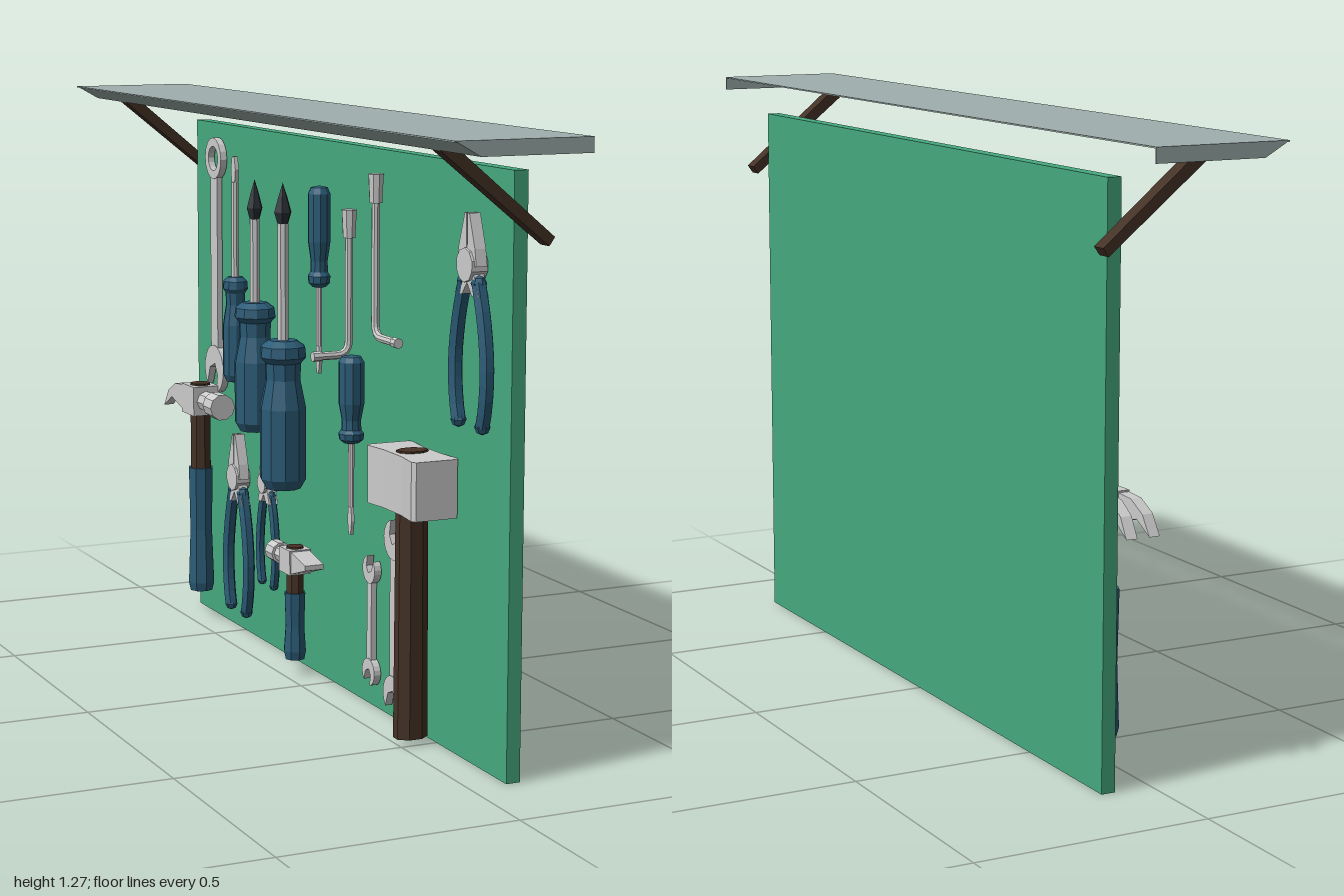
import * as THREE from 'three';

const mat = (color) => new THREE.MeshStandardMaterial({ color, flatShading: true, side: THREE.DoubleSide });
const GREY = mat(0xcccccc), GREEN = mat(0x45aa7e), ROOF = mat(0x9fb0ad), BLUE = mat(0x2b5b76), WOOD = mat(0x453226), DARK = mat(0x2a3036);

function add(parent, name, geo, material, x = 0, y = 0, z = 0) {
  const m = new THREE.Mesh(geo, material);
  m.name = name;
  m.position.set(x, y, z);
  parent.add(m);
  return m;
}
const box = (w, h, d) => new THREE.BoxGeometry(w, h, d);
const lathe = (pts, n = 10) => new THREE.LatheGeometry(pts.map(p => new THREE.Vector2(...p)), n);
const poly = (pts) => new THREE.Shape(pts.map(p => new THREE.Vector2(...p)));
// flat shape extruded and centred in depth
function plate(shape, depth) {
  const g = new THREE.ExtrudeGeometry(shape, { depth, bevelEnabled: false, curveSegments: 8 });
  return g.translate(0, 0, -depth / 2);
}
function group(parent, name, x, y, z) {
  const g = new THREE.Group();
  g.name = name;
  g.position.set(x, y, z);
  parent.add(g);
  return g;
}

// Screwdriver: handle from 0 to h, shaft on to total length len, pointing up
function screwdriver(parent, name, u, y, d, { r, h, len, shaft, cross = false, down = false }) {
  const g = group(parent, name, u, y, d);
  add(g, 'handle', lathe([[0, 0], [r * 0.75, 0.004], [r, h * 0.08], [r, h * 0.55], [r * 0.75, h * 0.74],
    [r * 0.78, h * 0.85], [r, h * 0.89], [r * 0.95, h * 0.96], [r * 0.6, h], [0, h]]), BLUE);
  const tip = cross ? 0.09 : 0.06;
  add(g, 'shaft', new THREE.CylinderGeometry(shaft, shaft, len - tip - h, 8), GREY, 0, (h + len - tip) / 2, 0);
  if (cross) {
    add(g, 'crossTip', lathe([[0, 0], [shaft, 0], [shaft * 1.6, 0.025], [shaft * 0.8, 0.06], [0, 0.09]], 6), DARK, 0, len - tip, 0);
  } else {
    add(g, 'flatTip', plate(poly([[-shaft, 0], [shaft, 0], [shaft * 1.5, 0.03], [shaft * 0.7, tip], [-shaft * 0.7, tip], [-shaft * 1.5, 0.03]]), shaft), GREY, 0, len - tip, 0);
  }
  if (down) g.rotation.z = Math.PI;
}

// Pliers: height h, half width w, handles hanging down
function pliers(parent, name, u, y, d, h, w) {
  const g = group(parent, name, u, y, d);
  const p = h * 0.76; // pivot height
  const pivot = add(g, 'pivot', new THREE.CylinderGeometry(w * 0.42, w * 0.42, 0.035, 10), GREY, 0, p, 0);
  pivot.rotation.x = Math.PI / 2;
  for (const s of [-1, 1]) {
    const jaw = poly([[0.002, p], [w * 0.5, p], [w * 0.42, p + h * 0.08], [w * 0.12, h], [0.002, h]]);
    add(g, 'jaw', plate(jaw, 0.024), GREY).scale.x = s;
    const arm = poly([[-w * 0.35, p], [w * 0.25, p], [w * 0.62, h * 0.62], [w * 0.25, h * 0.62]]);
    add(g, 'arm', plate(arm, 0.022), GREY).scale.x = s;
    const grip = new THREE.CatmullRomCurve3([[0.36, 0.68], [0.66, 0.5], [0.82, 0.3], [0.76, 0.12], [0.62, 0.02]]
      .map(([a, b]) => new THREE.Vector3(a * w * s, b * h, 0)));
    add(g, 'grip', new THREE.TubeGeometry(grip, 10, w * 0.2, 6), BLUE);
    const end = new THREE.SphereGeometry(w * 0.2, 6, 4);
    for (const t of [0, 1]) add(g, 'gripEnd', end, BLUE, ...grip.getPoint(t).toArray());
  }
}

// Spanner: open jaw at the bottom, open jaw or ring at the top
function spanner(parent, name, u, y, len, w, ring) {
  const g = group(parent, name, u, y, 0.011);
  const r = w / 2, t = 0.016;
  add(g, 'shank', box(w * 0.36, len - 3.2 * r, t * 0.8), GREY, 0, len / 2, 0);
  const open = new THREE.Shape();
  open.absarc(0, 0, r, Math.PI / 2 + 0.5, Math.PI * 2.5 - 0.5, false);
  open.lineTo(r * 0.42, r * 0.1);
  open.lineTo(0, -r * 0.25);
  open.lineTo(-r * 0.42, r * 0.1);
  open.closePath();
  add(g, 'openJaw', plate(open, t), GREY, 0, r, 0).rotation.z = Math.PI - 0.3;
  if (ring) {
    const shape = new THREE.Shape().absarc(0, 0, r * 0.85, 0, Math.PI * 2, false);
    shape.holes.push(new THREE.Path().absarc(0, 0, r * 0.5, 0, Math.PI * 2, true));
    add(g, 'ring', plate(shape, t), GREY, 0, len - r, 0);
  } else {
    add(g, 'openJaw', plate(open, t), GREY, 0, len - r, 0).rotation.z = -0.3;
  }
}

// Bent bar with a socket on its upper end; foot is the direction of the lower arm
function bentKey(parent, name, u, y, d, h, foot) {
  const g = group(parent, name, u, y, d);
  const f = new THREE.Vector3(...foot), dir = f.clone().normalize();
  const path = new THREE.CurvePath();
  const a = new THREE.Vector3(0, 0.03, 0), b = dir.clone().multiplyScalar(0.03);
  path.add(new THREE.LineCurve3(new THREE.Vector3(0, h, 0), a));
  path.add(new THREE.QuadraticBezierCurve3(a, new THREE.Vector3(), b));
  path.add(new THREE.LineCurve3(b, f));
  add(g, 'bar', new THREE.TubeGeometry(path, 32, 0.009, 8), GREY);
  add(g, 'socket', new THREE.CylinderGeometry(0.017, 0.014, 0.06, 8), GREY, 0, h - 0.03, 0);
  const end = add(g, 'barEnd', new THREE.CylinderGeometry(0.011, 0.011, 0.02, 8), GREY, ...f.toArray());
  end.quaternion.setFromUnitVectors(new THREE.Vector3(0, 1, 0), dir);
}

// Hammer: face towards side s, claw or wedge on the other side
function hammer(parent, name, u, y, h, k, s, claw) {
  const g = group(parent, name, u, y, 0.05);
  const gripH = h * 0.6;
  add(g, 'grip', lathe([[0, 0], [0.028 * k, 0], [0.033 * k, 0.02], [0.028 * k, gripH * 0.5], [0.031 * k, gripH], [0, gripH]], 8), BLUE);
  add(g, 'handle', new THREE.CylinderGeometry(0.025 * k, 0.026 * k, h - gripH + 0.004, 8), WOOD, 0, (h + gripH) / 2 + 0.002, 0);
  const head = group(g, 'head', 0, h - 0.035 * k, 0);
  head.scale.set(s * k, k, k);
  add(head, 'cheek', box(0.075, 0.07, 0.065), GREY);
  add(head, 'neck', new THREE.CylinderGeometry(0.024, 0.024, 0.06, 8), GREY, 0.06, 0, 0).rotation.z = Math.PI / 2;
  add(head, 'face', new THREE.CylinderGeometry(0.031, 0.031, 0.05, 10), GREY, 0.115, 0, 0).rotation.z = Math.PI / 2;
  const prong = poly([[-0.03, 0.032], [-0.08, 0.028], [-0.12, 0.005], [-0.145, -0.035], [-0.1, -0.008], [-0.03, -0.03]]);
  if (claw) {
    for (const side of [-1, 1]) add(head, 'claw', plate(prong, 0.024), GREY, 0, 0, side * 0.018).rotation.y = side * 0.05;
  } else {
    add(head, 'wedge', plate(poly([[-0.03, 0.033], [-0.13, 0.012], [-0.13, -0.002], [-0.03, -0.033]]), 0.056), GREY);
  }
}

export function createModel() {
  const model = new THREE.Group();
  model.name = 'toolBoard';
  add(model, 'board', box(0.03, 1.2, 1.59), GREEN, 0.095, 0.6, 0.005);

  // Hollow roof: top sheet, slanted lip and end plates
  const roof = group(model, 'roof', 0, 0, 0);
  add(roof, 'topSheet', box(0.285, 0.003, 2), ROOF, -0.0085, 1.2735, 0);
  const lip = poly([[-0.151, 1.275], [-0.145, 1.275], [-0.09, 1.245], [-0.098, 1.245]]);
  add(roof, 'slantedLip', plate(lip, 2), ROOF);
  const end = poly([[-0.15, 1.275], [0.134, 1.275], [0.134, 1.245], [-0.098, 1.245]]);
  for (const s of [-1, 1]) {
    add(roof, 'endPlate', plate(end, 0.004), ROOF, 0, 0, s * 0.998);
    // Slanting strut under the roof
    const strut = poly([[-0.1, 1.247], [-0.06, 1.247], [0.147, 1.075], [0.135, 1.058]]);
    add(model, 'strut', plate(strut, 0.034), WOOD, 0, 0, s * 0.822);
  }

  // Tools hang on the board: local x runs along it, local z points away from it
  const tools = group(model, 'tools', 0.08, 0, 0);
  tools.rotation.y = -Math.PI / 2;

  // Mallet with a waisted head
  const mallet = group(tools, 'mallet', 0.48, 0, 0.05);
  const waist = poly([[-0.11, -0.046], [-0.1, -0.05], [-0.04, -0.044], [0.04, -0.044], [0.1, -0.05], [0.11, -0.046],
    [0.11, 0.046], [0.1, 0.052], [0.04, 0.044], [-0.04, 0.044], [-0.1, 0.052], [-0.11, 0.046]]);
  add(mallet, 'malletHead', plate(waist, 0.12), GREY, 0, 0.55, 0).rotation.x = Math.PI / 2;
  const stick = new THREE.CylinderGeometry(0.034, 0.037, 0.6, 8).rotateY(Math.PI / 8).scale(0.75, 1, 1);
  add(mallet, 'malletHandle', stick, WOOD, 0, 0.314, 0);

  screwdriver(tools, 'largeScrewdriver', -0.165, 0.41, 0.05, { r: 0.053, h: 0.34, len: 0.69, shaft: 0.013, cross: true });
  screwdriver(tools, 'mediumScrewdriver', -0.325, 0.515, 0.049, { r: 0.048, h: 0.3, len: 0.58, shaft: 0.012, cross: true });
  screwdriver(tools, 'slimScrewdriver', -0.48, 0.605, 0.032, { r: 0.03, h: 0.25, len: 0.53, shaft: 0.009 });
  screwdriver(tools, 'upperScrewdriver', -0.02, 1.105, 0.028, { r: 0.025, h: 0.22, len: 0.41, shaft: 0.007, down: true });
  screwdriver(tools, 'lowerScrewdriver', 0.15, 0.76, 0.03, { r: 0.028, h: 0.19, len: 0.39, shaft: 0.007, down: true });

  pliers(tools, 'upperPliers', 0.675, 0.69, 0.022, 0.42, 0.08);
  pliers(tools, 'lowerPliers', -0.49, 0.05, 0.022, 0.43, 0.075);
  pliers(tools, 'smallPliers', -0.32, 0.15, 0.02, 0.32, 0.055);

  spanner(tools, 'largeSpanner', -0.645, 0.555, 0.62, 0.115, true);
  spanner(tools, 'mediumSpanner', 0.33, 0.015, 0.42, 0.085, false);
  spanner(tools, 'smallSpanner', 0.215, 0.05, 0.285, 0.06, false);

  bentKey(tools, 'outwardKey', 0.115, 0.755, 0.02, 0.31, [0, 0, 0.075]);
  bentKey(tools, 'sidewaysKey', 0.24, 0.81, 0.018, 0.34, [0.1, 0, 0]);

  hammer(tools, 'clawHammer', -0.657, 0.07, 0.505, 1, 1, true);
  hammer(tools, 'smallHammer', -0.1, 0.035, 0.255, 0.8, -1, false);
  return model;
}
